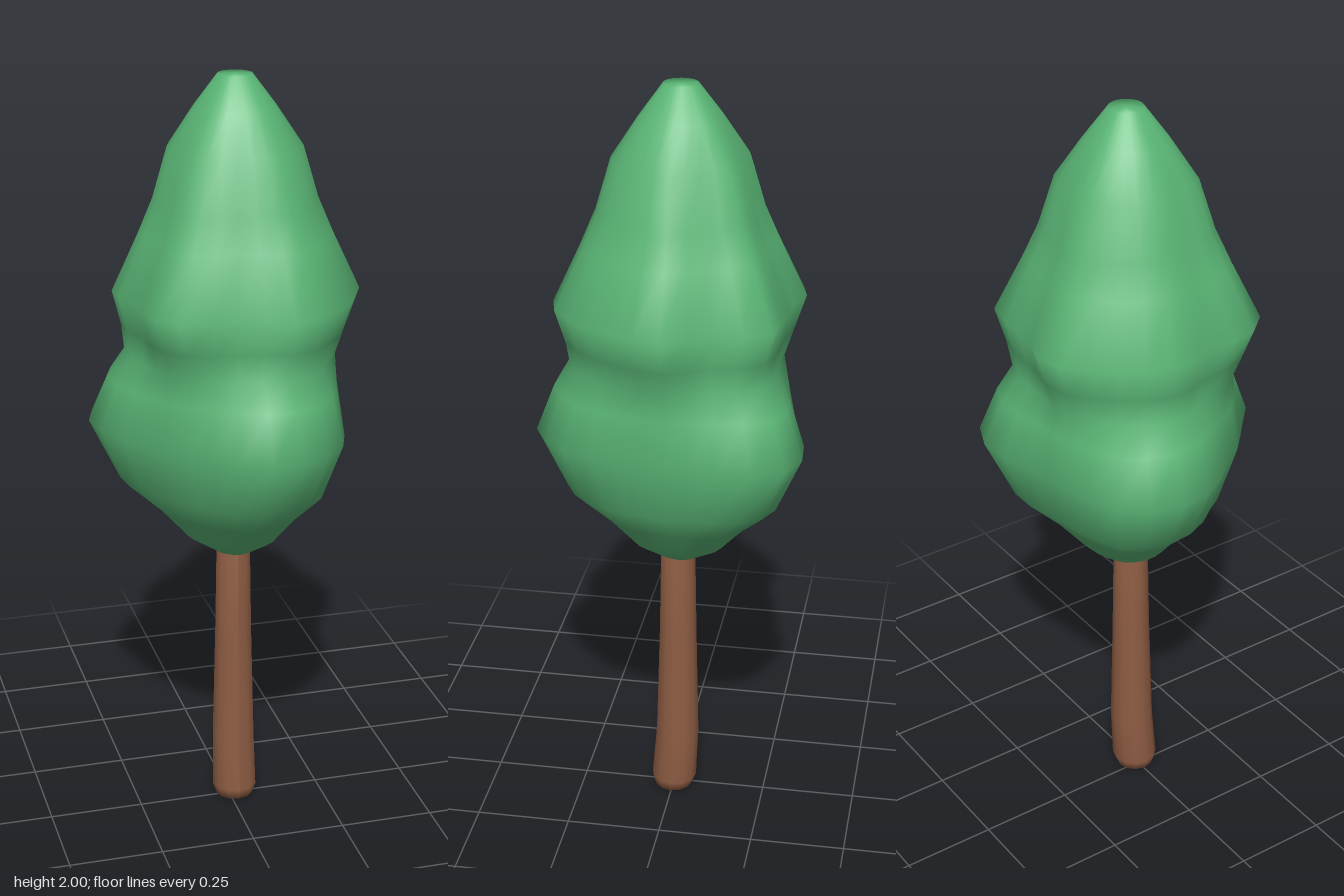
import * as THREE from 'three';

// Crown outlines as [x, z] points: the lower lobe ring and the upper lobe ring
const LOWER = [[-.29, -.245], [-.35, -.095], [-.325, 0], [-.25, .1], [-.13, .23], [-.02, .33], [.06, .355],
  [.225, .255], [.26, .16], [.28, .05], [.29, -.1], [.31, -.19], [.245, -.34], [.165, -.355], [0, -.31], [-.15, -.285]];
const UPPER = [[-.245, -.18], [-.29, -.06], [-.245, .06], [-.255, .12], [-.21, .235], [-.145, .245], [-.02, .245],
  [.05, .28], [.12, .295], [.225, .22], [.3, .11], [.345, -.015], [.315, -.08], [.27, -.13], [.225, -.285],
  [.15, -.295], [.04, -.295], [-.09, -.335], [-.165, -.27]];
const CX = 0.02, CZ = -0.02;

// Returns radius as a function of angle around the crown axis
function polarOutline(points) {
  const p = points.map(([x, z]) => [Math.atan2(z - CZ, x - CX), Math.hypot(x - CX, z - CZ)]).sort((a, b) => a[0] - b[0]);
  const first = p[0], last = p[p.length - 1];
  p.unshift([last[0] - 2 * Math.PI, last[1]]);
  p.push([first[0] + 2 * Math.PI, first[1]]);
  return (angle) => {
    const a = Math.atan2(Math.sin(angle), Math.cos(angle));
    let i = 1;
    while (i < p.length - 1 && p[i][0] < a) i++;
    const t = (a - p[i - 1][0]) / (p[i][0] - p[i - 1][0]);
    return THREE.MathUtils.lerp(p[i - 1][1], p[i][1], t);
  };
}

// Lofts rings of [y, scale, blend from lower to upper outline, roundness]
function crownGeometry() {
  const lower = polarOutline(LOWER), upper = polarOutline(UPPER);
  const rings = [[.735, .17, 0, .8], [.78, .38, 0, .6], [.86, .58, 0, .4], [.94, .82, 0, .2], [1.1, 1, 0, 0],
    [1.22, .91, .2, .1], [1.29, .85, .6, .25], [1.36, .91, .9, .1], [1.45, 1, 1, 0], [1.6, .78, 1, .15],
    [1.69, .66, 1, .3], [1.82, .54, 1, .5], [1.92, .33, 1, .7], [2, .14, 1, .9]];
  const n = 28, pos = [], index = [];
  for (const [y, scale, blend, round] of rings) {
    for (let j = 0; j < n; j++) {
      const a = j / n * Math.PI * 2;
      const lobed = THREE.MathUtils.lerp(lower(a), upper(a), blend);
      const r = scale * THREE.MathUtils.lerp(lobed, 0.315, round);
      pos.push(CX + r * Math.cos(a), y, CZ + r * Math.sin(a));
    }
  }
  for (let i = 0; i < rings.length - 1; i++) {
    for (let j = 0; j < n; j++) {
      const k = (j + 1) % n, a = i * n + j, b = i * n + k;
      index.push(a, a + n, b, b, a + n, b + n);
    }
  }
  // Close the underside and the tip
  const bottom = pos.length / 3, top = bottom + 1, last = (rings.length - 1) * n;
  pos.push(CX, .73, CZ, CX, 2, CZ);
  for (let j = 0; j < n; j++) {
    const k = (j + 1) % n;
    index.push(bottom, j, k, top, last + k, last + j);
  }
  const g = new THREE.BufferGeometry();
  g.setAttribute('position', new THREE.Float32BufferAttribute(pos, 3));
  g.setIndex(index);
  g.computeVertexNormals();
  return g;
}

// Tapered trunk with a softened foot, leaning slightly backwards
function trunkGeometry() {
  const profile = [[0, 0], [.05, .005], [.061, .035], [.058, .18], [.05, .5], [.045, .8], [0, .8]];
  const g = new THREE.LatheGeometry(profile.map(([r, y]) => new THREE.Vector2(r, y)), 12);
  const p = g.attributes.position;
  for (let i = 0; i < p.count; i++) {
    p.setX(i, p.getX(i) + .015);
    p.setZ(i, p.getZ(i) - .013 * Math.min(1, p.getY(i) / .2));
  }
  g.computeVertexNormals();
  return g;
}

export function createModel() {
  const leaf = new THREE.MeshStandardMaterial({ color: 0x5ab676 });
  leaf.name = 'leaf green';
  const bark = new THREE.MeshStandardMaterial({ color: 0x8f5d43 });
  bark.name = 'bark brown';

  const tree = new THREE.Group();
  tree.name = 'tree';
  const trunk = new THREE.Mesh(trunkGeometry(), bark);
  trunk.name = 'trunk';
  const crown = new THREE.Mesh(crownGeometry(), leaf);
  crown.name = 'crown';
  tree.add(trunk, crown);
  return tree;
}
